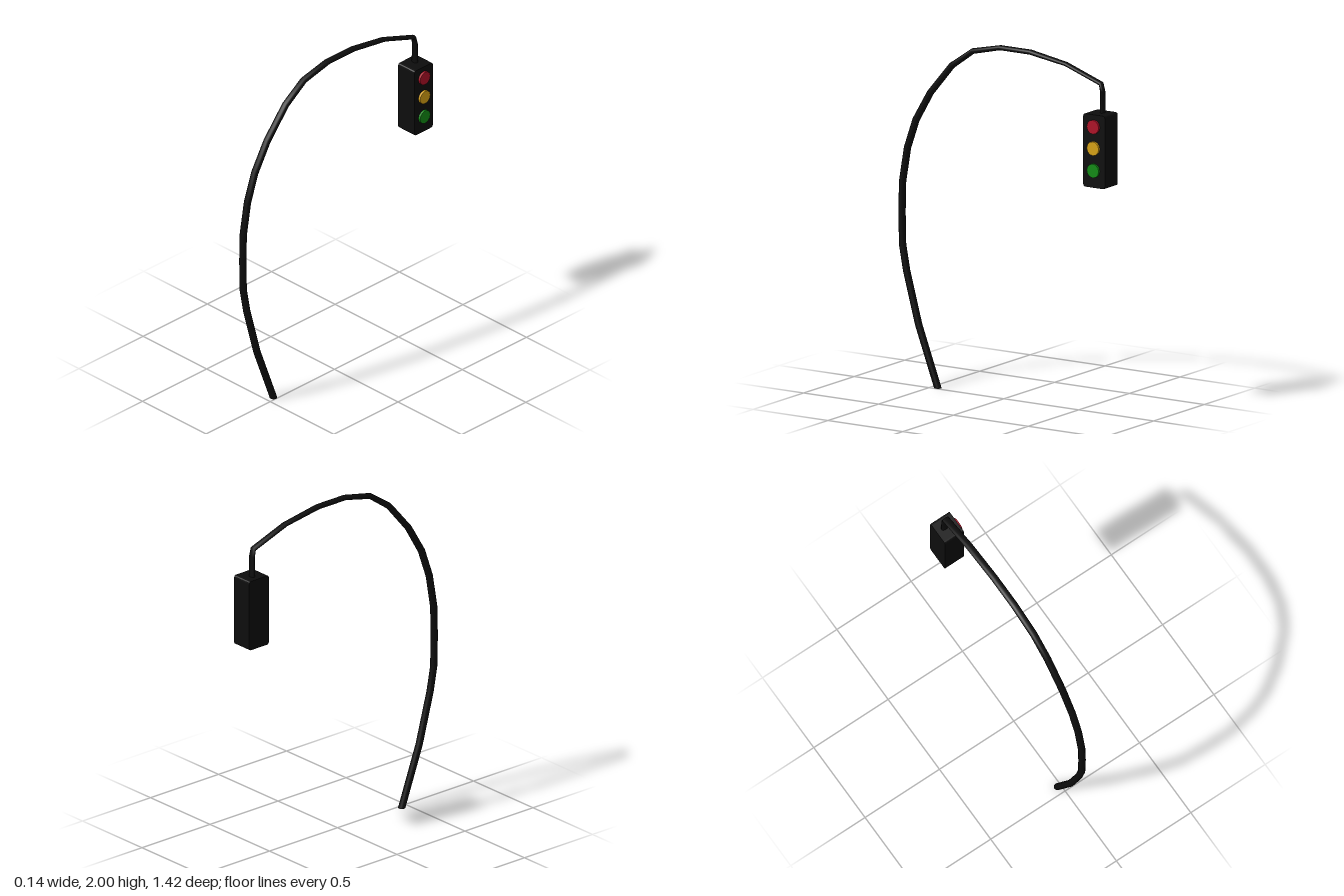
import * as THREE from 'three';

const material = (name, color) => {
  const m = new THREE.MeshStandardMaterial({ color });
  m.name = name;
  return m;
};

const POLE_X = -0.02;

// Pole centreline: z, y, half thickness in the bending plane
const stations = [
  [0.455, 0, 0.021], [0.583, 0.345, 0.02], [0.663, 0.64, 0.02], [0.69, 0.785, 0.02],
  [0.694, 0.97, 0.02], [0.69, 1.145, 0.02], [0.657, 1.34, 0.02], [0.6, 1.505, 0.02],
  [0.504, 1.67, 0.019], [0.36, 1.842, 0.018], [0.22, 1.941, 0.016], [0.037, 1.983, 0.014],
  [-0.164, 1.983, 0.014], [-0.403, 1.945, 0.011], [-0.636, 1.863, 0.011],
  [-0.646, 1.82, 0.01], [-0.646, 1.69, 0.014],
];

// Loft an elliptical ring along the centreline, with a cap at the foot
function poleGeometry(sides = 12, halfWidth = 0.021) {
  const positions = [], index = [];
  stations.forEach(([z, y, r], i) => {
    const prev = stations[Math.max(i - 1, 0)];
    const next = stations[Math.min(i + 1, stations.length - 1)];
    const t = new THREE.Vector2(next[0] - prev[0], next[1] - prev[1]).normalize();
    if (i === 0) t.set(0, 1); // foot is cut level with the ground
    for (let j = 0; j < sides; j++) {
      const a = (j / sides) * Math.PI * 2;
      const s = Math.sin(a) * r;
      positions.push(POLE_X + Math.cos(a) * halfWidth, y + t.x * s, z - t.y * s);
      if (i === stations.length - 1) continue;
      const k = (j + 1) % sides, p = i * sides, q = p + sides;
      index.push(p + j, p + k, q + j, p + k, q + k, q + j);
    }
  });
  for (let j = 1; j < sides - 1; j++) index.push(0, j + 1, j);
  const g = new THREE.BufferGeometry();
  g.setAttribute('position', new THREE.Float32BufferAttribute(positions, 3));
  g.setIndex(index);
  g.computeVertexNormals();
  return g;
}

// Box with its four long edges rounded, extruded along x
function housingGeometry(width, height, depth, r) {
  const w = width / 2, h = height / 2;
  const s = new THREE.Shape();
  s.moveTo(-w + r, -h);
  s.lineTo(w - r, -h);
  s.quadraticCurveTo(w, -h, w, -h + r);
  s.lineTo(w, h - r);
  s.quadraticCurveTo(w, h, w - r, h);
  s.lineTo(-w + r, h);
  s.quadraticCurveTo(-w, h, -w, h - r);
  s.lineTo(-w, -h + r);
  s.quadraticCurveTo(-w, -h, -w + r, -h);
  const g = new THREE.ExtrudeGeometry(s, { depth, bevelEnabled: false, curveSegments: 3 });
  g.translate(0, 0, -depth / 2);
  return g.rotateY(Math.PI / 2);
}

export function createModel() {
  const model = new THREE.Group();
  model.name = 'trafficLight';
  const black = material('black', 0x0d0d0d);

  const add = (name, geometry, mat, x = 0, y = 0, z = 0) => {
    const mesh = new THREE.Mesh(geometry, mat);
    mesh.name = name;
    mesh.position.set(x, y, z);
    model.add(mesh);
  };

  add('curvedPole', poleGeometry(), black);
  add('lampHousing', housingGeometry(0.144, 0.414, 0.127, 0.014), black, -0.008, 1.494, -0.639);

  // Three lenses standing proud of the housing's +x face
  const lens = new THREE.CylinderGeometry(0.04, 0.04, 0.024, 12).rotateZ(-Math.PI / 2);
  const lights = [['red', 0xb01027, 1.633], ['amber', 0xd9a314, 1.511], ['green', 0x118c14, 1.385]];
  for (const [name, color, y] of lights) {
    add(name + 'Lens', lens, material(name, color), 0.057, y, -0.639);
  }
  return model;
}
